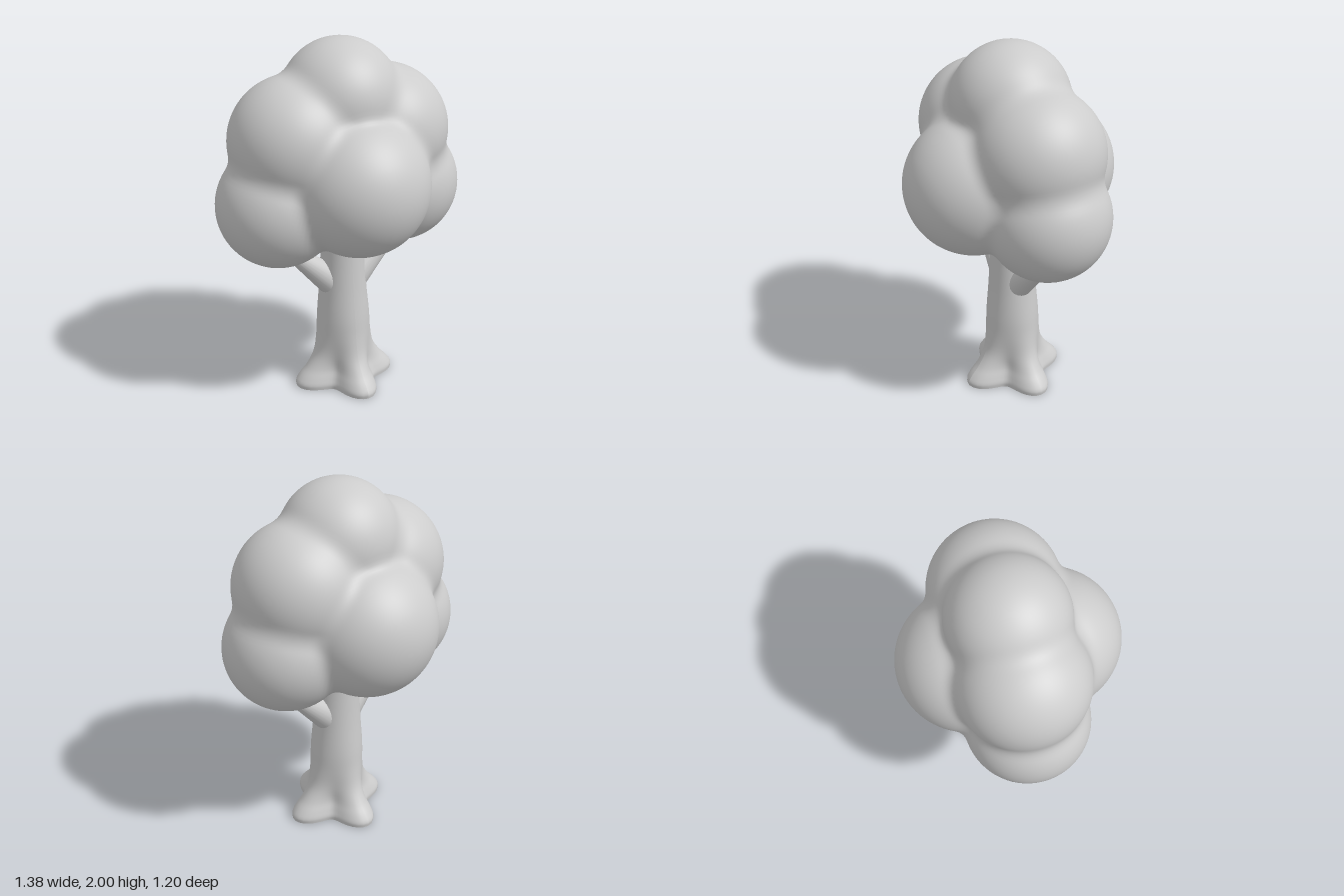
import * as THREE from 'three';
import { mergeVertices } from 'three/addons/utils/BufferGeometryUtils.js';

// Crown lobes: centre x, y, z and radius
const LOBES = [
  [0.005, 1.68, 0, 0.32],
  [-0.26, 1.48, 0, 0.352], [0.26, 1.48, 0, 0.352],
  [-0.36, 1.143, 0, 0.333], [0.355, 1.16, 0, 0.335],
  [0, 1.265, 0.225, 0.375], [0, 1.265, -0.225, 0.375],
].map(([x, y, z, r]) => ({ c: new THREE.Vector3(x, y, z), r }));

// Distance to the lobes, softly blended where they meet
function crownDistance(p) {
  const k = 0.05;
  let d = 10;
  for (const { c, r } of LOBES) {
    const e = p.distanceTo(c) - r;
    const h = Math.max(k - Math.abs(d - e), 0) / k;
    d = Math.min(d, e) - h * h * k * 0.25;
  }
  return d;
}

// One continuous skin: a fine sphere shrunk inwards onto the blended lobes
function crownGeometry() {
  let geo = new THREE.IcosahedronGeometry(1, 30);
  geo.deleteAttribute('uv');
  geo.deleteAttribute('normal');
  geo = mergeVertices(geo, 1e-4);
  const centre = new THREE.Vector3(0, 1.3, 0);
  const pos = geo.attributes.position;
  const dir = new THREE.Vector3(), p = new THREE.Vector3();
  for (let i = 0; i < pos.count; i++) {
    dir.fromBufferAttribute(pos, i).normalize();
    let t = 1.2;
    for (let n = 0; n < 80; n++) {
      const d = crownDistance(p.copy(centre).addScaledVector(dir, t));
      if (d < 0.0003) break;
      t -= d;
    }
    p.copy(centre).addScaledVector(dir, t);
    pos.setXYZ(i, p.x, p.y, p.z);
  }
  geo.computeVertexNormals();
  return geo;
}

// Trunk with a flared foot of four roots along x and z
function trunkGeometry() {
  // radius, height, root depth
  const profile = new THREE.CatmullRomCurve3([
    [0.238, 0, 0.06], [0.24, 0.025, 0.06], [0.222, 0.06, 0.055], [0.19, 0.11, 0.042],
    [0.165, 0.19, 0.018], [0.154, 0.3, 0.006], [0.148, 0.42, 0.002],
    [0.132, 0.6, 0], [0.12, 0.8, 0], [0.116, 1.0, 0],
  ].map((a) => new THREE.Vector3(...a)));
  const geo = new THREE.CylinderGeometry(1, 1, 1, 64, 36);
  const pos = geo.attributes.position;
  const s = new THREE.Vector3();
  for (let i = 0; i < pos.count; i++) {
    const x = pos.getX(i), z = pos.getZ(i);
    profile.getPoint(THREE.MathUtils.clamp(pos.getY(i) + 0.5, 0, 1), s);
    const r = s.x + s.z * Math.cos(4 * Math.atan2(z, x));
    pos.setXYZ(i, x * r + 0.03 - 0.016 * s.y, Math.max(s.y, 0), z * r);
  }
  geo.computeVertexNormals();
  return geo;
}

// Tapered limb between two points
function limb(from, to, r0, r1, material) {
  const axis = to.clone().sub(from);
  const mesh = new THREE.Mesh(new THREE.CylinderGeometry(r1, r0, axis.length(), 24, 1), material);
  mesh.position.copy(from).addScaledVector(axis, 0.5);
  mesh.quaternion.setFromUnitVectors(new THREE.Vector3(0, 1, 0), axis.normalize());
  return mesh;
}

export function createModel() {
  const tree = new THREE.Group();
  tree.name = 'tree';
  const clay = new THREE.MeshStandardMaterial({ color: 0xcccccc });
  clay.name = 'pale grey';

  const crown = new THREE.Mesh(crownGeometry(), clay);
  crown.name = 'crown';
  const trunk = new THREE.Mesh(trunkGeometry(), clay);
  trunk.name = 'trunk';
  tree.add(crown, trunk);

  // Two side branches reaching into the crown
  for (const side of [-1, 1]) {
    const at = (x, y) => new THREE.Vector3(0.02 + side * x, y, 0);
    const branch = limb(at(0.05, 0.615), at(0.36, 0.89), 0.09, 0.03, clay);
    branch.name = side > 0 ? 'leftBranch' : 'rightBranch';
    tree.add(branch);
  }
  return tree;
}
